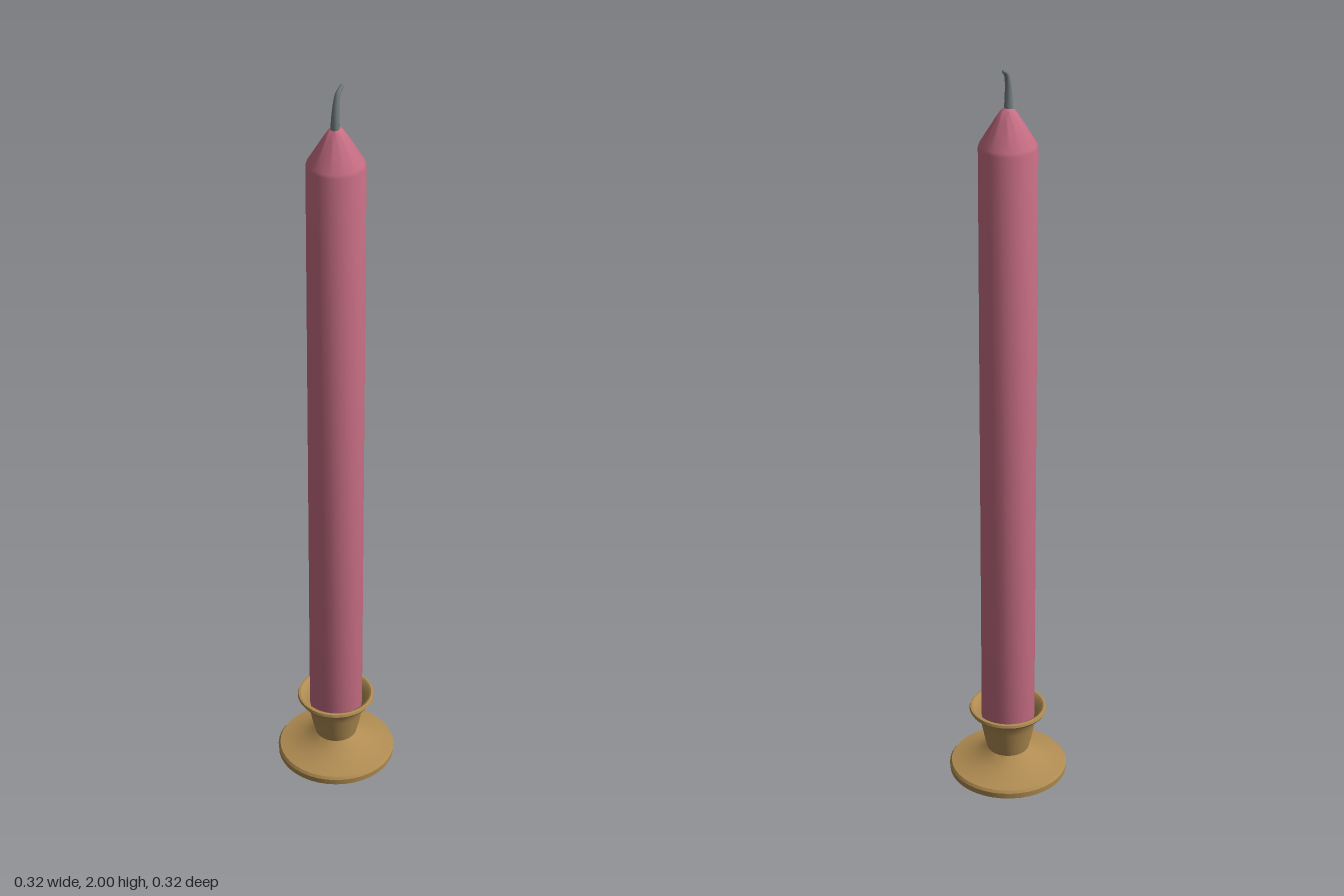
import * as THREE from 'three';
import { toCreasedNormals } from 'three/addons/utils/BufferGeometryUtils.js';

const material = (name, color) => {
  const m = new THREE.MeshStandardMaterial({ color });
  m.name = name;
  return m;
};

// Turned part from [radius, height] pairs, bottom to top on the outside
function turned(name, profile, mat, segments) {
  const points = profile.map(([r, y]) => new THREE.Vector2(r, y));
  const geometry = toCreasedNormals(new THREE.LatheGeometry(points, segments), 0.6);
  const mesh = new THREE.Mesh(geometry, mat);
  mesh.name = name;
  return mesh;
}

// Round tube along a curve whose radius shrinks to the tip
function taperedTube(curve, steps, sides, r0, r1) {
  const geometry = new THREE.TubeGeometry(curve, steps, 1, sides);
  const pos = geometry.attributes.position;
  const p = new THREE.Vector3();
  for (let i = 0; i < pos.count; i++) {
    const t = Math.floor(i / (sides + 1)) / steps;
    const centre = curve.getPointAt(t);
    p.fromBufferAttribute(pos, i).sub(centre).multiplyScalar(r0 + (r1 - r0) * t).add(centre);
    pos.setXYZ(i, p.x, p.y, p.z);
  }
  geometry.computeVertexNormals();
  return geometry;
}

export function createModel() {
  const brass = material('brass', 0xb08c52);
  const wax = material('pink wax', 0xc66d83);
  const cord = material('grey wick', 0x737d80);
  const group = new THREE.Group();
  group.name = 'candleInHolder';

  // Holder: dished foot, narrow neck, flared cup with a hollow inside
  group.add(turned('holder', [
    [0, 0.005], [0.148, 0.005], [0.15, 0], [0.157, 0.004], [0.158, 0.02], [0.153, 0.027],
    [0.12, 0.034], [0.09, 0.047], [0.068, 0.06], [0.056, 0.072],
    [0.063, 0.1], [0.072, 0.145], [0.077, 0.165], [0.086, 0.178], [0.1, 0.186],
    [0.104, 0.192], [0.102, 0.199], [0.096, 0.2], [0.088, 0.195], [0.079, 0.175],
    [0.072, 0.15], [0.06, 0.09], [0, 0.09],
  ], brass, 40));

  // Candle: straight shaft with a conical shoulder
  group.add(turned('candle', [
    [0, 0.092], [0.058, 0.092], [0.071, 0.17], [0.073, 1.797], [0.07, 1.806],
    [0.03, 1.872], [0.018, 1.89], [0.01, 1.896], [0, 1.896],
  ], wax, 28));

  // Wick: leans towards +x at the tip
  const curve = new THREE.CatmullRomCurve3([
    [-0.003, 1.885, 0], [-0.003, 1.92, 0], [0, 1.955, 0], [0.008, 1.982, 0], [0.024, 1.995, 0],
  ].map((c) => new THREE.Vector3(...c)));
  const wick = new THREE.Mesh(taperedTube(curve, 16, 10, 0.012, 0.005), cord);
  wick.name = 'wick';
  const tip = new THREE.Mesh(new THREE.SphereGeometry(0.005, 10, 8), cord);
  tip.name = 'wickTip';
  tip.position.set(0.024, 1.995, 0);
  group.add(wick, tip);

  return group;
}
